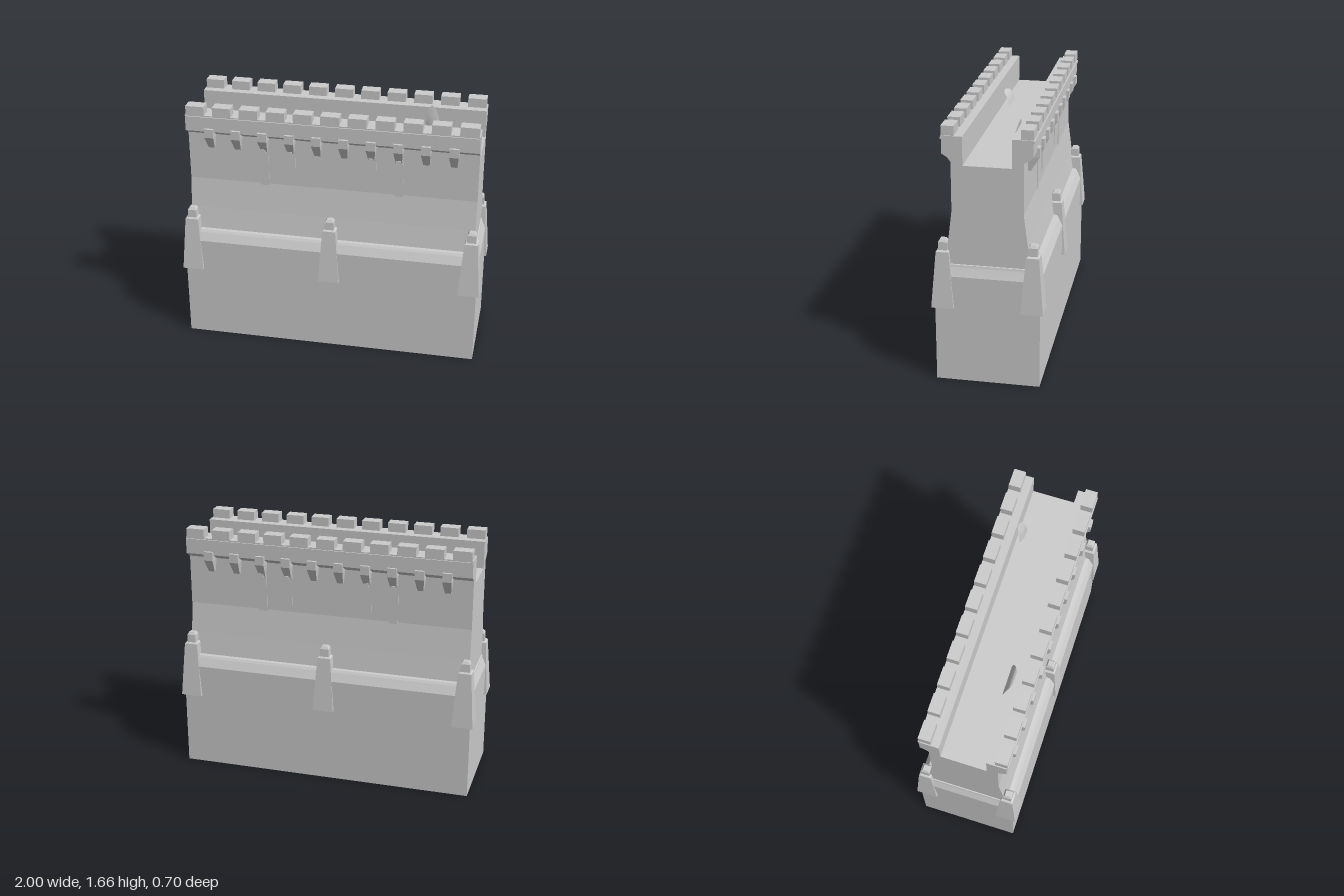
import * as THREE from 'three';

const stone = new THREE.MeshStandardMaterial({ color: 0xcccccc, flatShading: true, side: THREE.DoubleSide });

function add(parent, name, geometry, x = 0, y = 0, z = 0) {
  const mesh = new THREE.Mesh(geometry, stone);
  mesh.name = name;
  mesh.position.set(x, y, z);
  parent.add(mesh);
  return mesh;
}

// Stacked rectangles [y, halfX, minZ, maxZ] joined into a solid.
function loft(sections, closeBottom = true, closeTop = true) {
  const pos = [];
  const rings = sections.map(([y, hx, z0, z1]) => [[-hx, y, z1], [hx, y, z1], [hx, y, z0], [-hx, y, z0]]);
  const quad = (a, b, c, d) => pos.push(...a, ...b, ...c, ...a, ...c, ...d);
  for (let i = 0; i < rings.length - 1; i++) {
    for (let j = 0; j < 4; j++) {
      const k = (j + 1) % 4;
      quad(rings[i][j], rings[i][k], rings[i + 1][k], rings[i + 1][j]);
    }
  }
  const [a, b, c, d] = rings[0];
  if (closeBottom) quad(d, c, b, a);
  if (closeTop) quad(...rings[rings.length - 1]);
  const g = new THREE.BufferGeometry();
  g.setAttribute('position', new THREE.Float32BufferAttribute(pos, 3));
  g.computeVertexNormals();
  return g;
}

// Thin curved shield: straight foot, rounded head, spine along a curve.
function shieldGeometry(points, halfWidth, bulge, twist) {
  const spine = new THREE.CatmullRomCurve3(points.map(p => new THREE.Vector3(...p)));
  const g = new THREE.PlaneGeometry(2, 1, 8, 10);
  const p = g.attributes.position;
  for (let i = 0; i < p.count; i++) {
    const u = p.getX(i), t = p.getY(i) + 0.5;
    const c = spine.getPoint(t);
    const w = halfWidth * Math.sqrt(Math.max(0, 1 - t * t));
    p.setXYZ(i, c.x + u * w, c.y, c.z + u * w * twist + bulge * (1 - u * u) * (1 - t));
  }
  g.computeVertexNormals();
  return g;
}

export function createModel() {
  const model = new THREE.Group();
  model.name = 'fortifiedWall';

  // Hollow base with a sloping ledge
  add(model, 'base', loft([
    [0, 0.98, -0.327, 0.327], [0.71, 0.98, -0.327, 0.327],
    [0.765, 0.957, -0.3, 0.3], [0.78, 0.953, -0.29, 0.29], [0.785, 0.94, -0.25, 0.25],
  ], false, false));

  // Upper wall, walkway and both parapets as one section
  const half = [[0.268, 0.77], [0.245, 0.93], [0.22, 1.13], [0.22, 1.455], [0.275, 1.49], [0.275, 1.6], [0.148, 1.6], [0.148, 1.42]];
  const outline = [...half, ...half.map(([z, y]) => [-z, y]).reverse()];
  const section = new THREE.Shape(outline.map(([z, y]) => new THREE.Vector2(z, y)));
  const wall = new THREE.ExtrudeGeometry(section, { depth: 1.894, bevelEnabled: false });
  wall.translate(0, 0, -0.947).rotateY(Math.PI / 2);
  add(model, 'upperWall', wall);

  // One long face, repeated on the back
  const buttress = loft([
    [0.5, 0.07, -0.07, 0.07], [0.865, 0.043, -0.04, 0.04], [0.872, 0.036, -0.034, 0.034],
    [0.873, 0.03, -0.029, 0.029], [0.925, 0.028, -0.027, 0.027], [0.942, 0.018, -0.017, 0.017],
  ]);
  const corbel = loft([[1.365, 0.02, 0.2, 0.238], [1.455, 0.03, 0.2, 0.293], [1.513, 0.03, 0.2, 0.293]]);
  const merlon = new THREE.BoxGeometry(0.12, 0.06, 0.078);

  const face = new THREE.Group();
  face.name = 'frontFace';
  for (const x of [-0.93, 0, 0.93]) add(face, 'buttress', buttress, x, 0, 0.278);
  for (let i = -5; i <= 5; i++) add(face, 'merlon', merlon, i * 0.176, 1.63, 0.239);
  for (let i = 0; i < 10; i++) add(face, 'corbel', corbel, (i - 4.5) * 0.1755);
  add(face, 'parapetRail', new THREE.BoxGeometry(1.88, 0.016, 0.012), 0, 1.584, 0.277);

  // Narrow strips hanging below four of the corbels
  for (const [x, bottom] of [[-0.443, 1.12], [-0.267, 1.18], [0.263, 1.18], [0.439, 1.12]]) {
    const h = 1.39 - bottom;
    add(face, 'hangingStrip', new THREE.BoxGeometry(0.058, h, 0.01), x, bottom + h / 2, 0.22);
    add(face, 'stripHook', new THREE.BoxGeometry(0.03, 0.022, 0.035), x, 1.374, 0.237);
  }
  const back = face.clone();
  back.name = 'backFace';
  back.rotation.y = Math.PI;
  model.add(face, back);

  // Shields leaning against the inner parapets
  add(model, 'frontShield', shieldGeometry(
    [[-0.36, 1.425, 0.09], [-0.36, 1.47, 0.105], [-0.36, 1.5, 0.123], [-0.36, 1.512, 0.145]], 0.1, 0, 0));
  add(model, 'backShield', shieldGeometry(
    [[0.61, 1.42, -0.112], [0.605, 1.52, -0.118], [0.595, 1.618, -0.14]], 0.05, 0.008, 0.2));
  return model;
}
